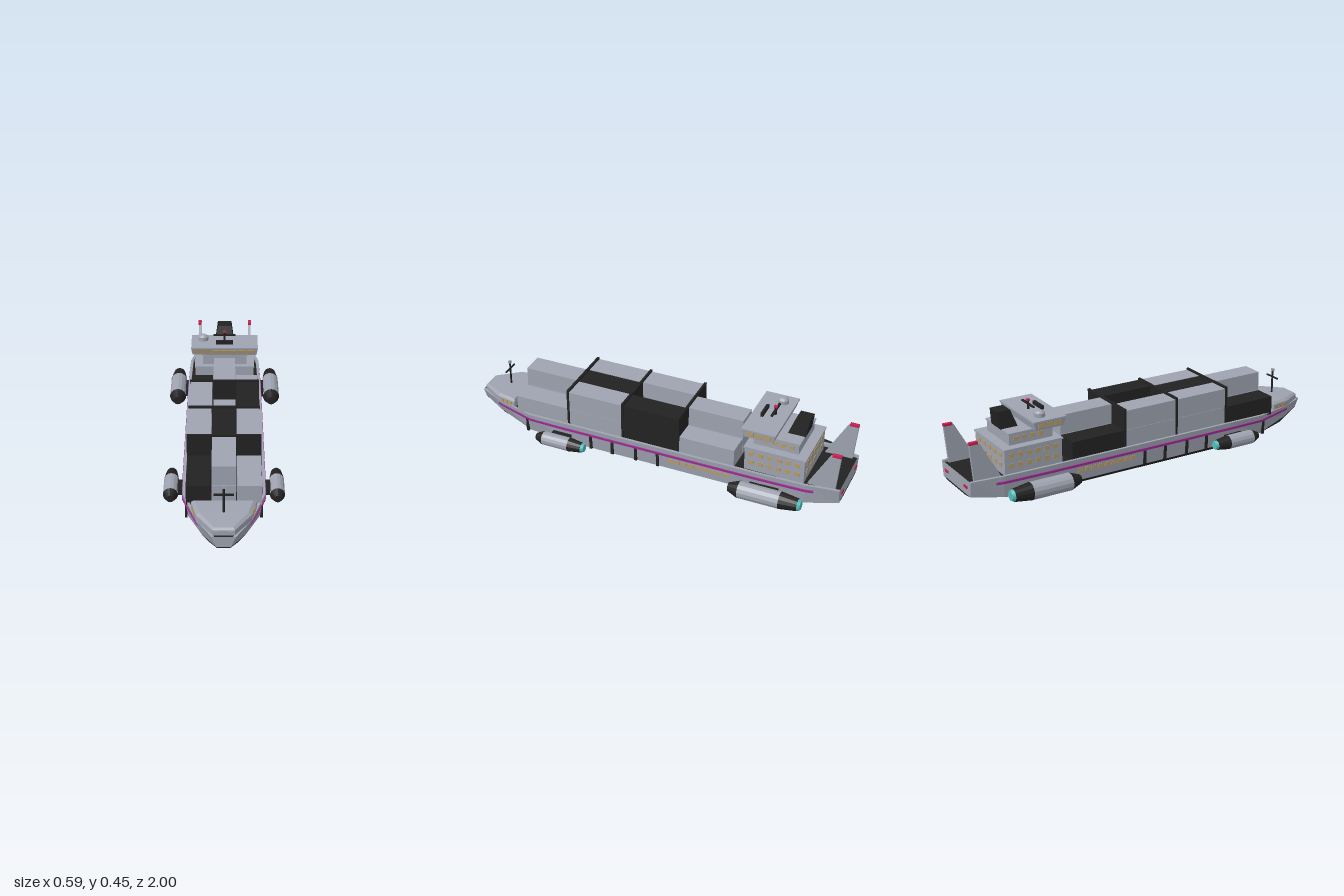
import * as THREE from 'three';

const mat = (name, color, extra = {}) => {
  const m = new THREE.MeshStandardMaterial({ color, side: THREE.DoubleSide, flatShading: true, ...extra });
  m.name = name;
  return m;
};

export function createModel() {
  const root = new THREE.Group();
  root.name = 'hoverFreighter';
  const grey = mat('hull grey', 0x9ea3b0), black = mat('dark panel', 0x222222);
  const tan = mat('window amber', 0xb79a62), purple = mat('stripe purple', 0xa12c98);
  const red = mat('signal red', 0xc8204f), cyan = mat('thruster cyan', 0x52bcbc);

  const add = (name, geo, m, x = 0, y = 0, z = 0, parent = root) => {
    const mesh = new THREE.Mesh(geo, m);
    mesh.name = name;
    mesh.position.set(x, y, z);
    parent.add(mesh);
    return mesh;
  };
  const box = (name, m, w, h, d, x, y, z) => add(name, new THREE.BoxGeometry(w, h, d), m, x, y, z);
  // Box given by its bounds, centred on x = 0
  const block = (name, m, w, y0, y1, z0, z1) => box(name, m, w, y1 - y0, z1 - z0, 0, (y0 + y1) / 2, (z0 + z1) / 2);

  // Mesh from quads, each a list of four points
  const quads = (name, m, list) => {
    const pos = [];
    for (const [a, b, c, d] of list) pos.push(...a, ...b, ...c, ...a, ...c, ...d);
    const g = new THREE.BufferGeometry();
    g.setAttribute('position', new THREE.Float32BufferAttribute(pos, 3));
    g.computeVertexNormals();
    return add(name, g, m);
  };
  // Band between two right-hand lines, mirrored to both sides
  const band = (name, m, a, b) => {
    const list = [];
    for (const s of [1, -1]) for (let i = 0; i + 1 < a.length; i++) {
      const q = [a[i], b[i], b[i + 1], a[i + 1]].map(([x, y, z]) => [s * x, y, z]);
      list.push(s > 0 ? q : q.reverse());
    }
    return quads(name, m, list);
  };
  const centre = (line) => line.map(([, y, z]) => [0, y, z]);

  // Hull stations: z, rim half width, rim y, chine half width, chine y, keel half width, keel y
  const stations = [
    [1, 0.055, 0.155, 0.032, 0.102, 0.03, 0.098],
    [0.87, 0.125, 0.16, 0.1, 0.088, 0.065, 0.046],
    [0.65, 0.193, 0.17, 0.175, 0.064, 0.1, 0.016],
    [0.45, 0.195, 0.172, 0.184, 0.057, 0.11, 0.008],
    [-0.6, 0.195, 0.172, 0.184, 0.057, 0.11, 0.008],
    [-0.84, 0.19, 0.172, 0.18, 0.062, 0.11, 0.035],
    [-1, 0.16, 0.165, 0.15, 0.088, 0.1, 0.08],
  ];
  const rim = stations.map(([z, x, y]) => [x, y, z]);
  const chine = stations.map((s) => [s[3], s[4], s[0]]);
  const keel = stations.map((s) => [s[5], s[6], s[0]]);
  const rimIn = rim.map(([x, y, z]) => [x - 0.014, y, z]);
  const deckEdge = rimIn.map(([x, , z]) => [x, 0.154, z]);
  band('hullSide', grey, rim, chine);
  band('hullBelly', black, chine, keel);
  band('hullBottom', black, keel, centre(keel));
  band('bulwarkTop', grey, rimIn, rim);
  band('bulwarkInside', grey, deckEdge, rimIn);
  band('deck', black, centre(deckEdge), deckEdge);
  for (const [i, n] of [[0, 'bow'], [stations.length - 1, 'stern']]) {
    const flip = ([x, y, z]) => [-x, y, z];
    const cap = (a, b) => (i ? [a, b, flip(b), flip(a)] : [flip(a), flip(b), b, a]);
    quads(n + 'Plate', grey, [cap(rim[i], chine[i])]);
    quads(n + 'LowerPlate', black, [cap(chine[i], keel[i])]);
  }

  // Hull half width at a given z and height
  const hullX = (z, y) => {
    let i = 0;
    while (i < stations.length - 2 && stations[i + 1][0] > z) i++;
    const a = stations[i], b = stations[i + 1], t = (a[0] - z) / (a[0] - b[0]);
    const v = (k) => a[k] + (b[k] - a[k]) * t;
    return v(3) + (v(1) - v(3)) * (y - v(4)) / (v(2) - v(4));
  };

  // Side stripe, standing just proud of the hull
  const stripe = (y, o) => [0.87, 0.65, 0.45, -0.6, -0.84, -0.88].map((z) => [hullX(z, y) + o, y, z]);
  band('sideStripe', purple, stripe(0.146, 0.006), stripe(0.134, 0.006));
  band('stripeTop', purple, stripe(0.146, 0), stripe(0.146, 0.006));
  band('stripeUnderside', purple, stripe(0.134, 0.006), stripe(0.134, 0));

  for (const s of [1, -1]) {
    for (const z of [0.67, 0.3, 0.18, 0.05, -0.07]) box('hullRib', black, 0.012, 0.075, 0.014, s * (hullX(z, 0.098) + 0.001), 0.097, z);
    for (let i = 0; i < 9; i++) {
      const z = -0.14 - i * 0.037;
      box('hullWindow', tan, 0.006, 0.02, 0.024, s * (hullX(z, 0.11) + 0.001), 0.11, z);
    }
    box('sternLight', red, 0.035, 0.014, 0.008, s * 0.105, 0.127, -1);
  }

  // Lift panels under the hull
  for (const z of [-0.4, 0.4]) block('liftPanel', cyan, 0.15, 0.003, 0.01, z - 0.085, z + 0.085);
  block('liftPanelCentre', cyan, 0.11, 0.003, 0.01, -0.085, 0.085);
  block('liftPanelCross', cyan, 0.15, 0.0035, 0.01, -0.055, 0.055);
  block('liftPanelCore', cyan, 0.18, 0.004, 0.01, -0.02, 0.02);

  // Forecastle with a sloping roof
  const fore = [[0.15, 0.192, 0.76], [0.125, 0.188, 0.87], [0.05, 0.18, 0.985]];
  const foreBase = fore.map(([x, , z]) => [x, 0.153, z]);
  const foreRoof = [[0.135, 0.203, 0.765], [0.11, 0.199, 0.865], [0.042, 0.189, 0.975]];
  band('forecastleSide', grey, foreBase, fore);
  band('forecastleShoulder', grey, fore, foreRoof);
  band('forecastleRoof', grey, foreRoof, centre(foreRoof));
  for (const i of [0, 2]) {
    band('forecastleEnd', grey, [foreBase[i], centre(foreBase)[i]], [fore[i], centre(fore)[i]]);
    band('forecastleEndTop', grey, [fore[i], centre(fore)[i]], [foreRoof[i], centre(foreRoof)[i]]);
  }
  for (const s of [1, -1]) {
    for (let i = 0; i < 3; i++) {
      const z = 0.785 + i * 0.028;
      const w = box('forecastleWindow', tan, 0.005, 0.02, 0.018, s * (0.15 - (z - 0.76) * 0.227), 0.175, z);
      w.rotation.y = -s * 0.223;
    }
    box('hawsePlate', grey, 0.02, 0.011, 0.006, s * 0.032, 0.17, 0.986);
  }

  // Foremast
  add('foremast', new THREE.CylinderGeometry(0.005, 0.005, 0.125, 8), black, 0, 0.26, 0.86);
  box('foremastYard', black, 0.09, 0.007, 0.007, 0, 0.288, 0.86);
  box('foremastLamp', grey, 0.015, 0.012, 0.012, 0, 0.327, 0.86);

  // Containers: rows from the bow, columns from -x; level count and colour
  const cargo = [
    [[1, black], [2, grey], [1, grey]],
    [[2, grey], [2, black], [2, grey]],
    [[2, grey], [1, grey], [2, black]],
    [[1, black], [2, grey], [1, grey]],
  ];
  cargo.forEach((row, r) => row.forEach(([levels, m], c) => {
    for (let l = 0; l < levels; l++) box('container', m, 0.113, 0.099, 0.288, (c - 1) * 0.118, 0.206 + l * 0.1, 0.58 - r * 0.3015);
  }));
  for (let i = 0; i < 3; i++) block('lashingWall', black, 0.354, 0.155, 0.365, 0.423 - i * 0.3015, 0.435 - i * 0.3015);

  // Deckhouse
  block('deckhouseLower', grey, 0.31, 0.154, 0.28, -0.82, -0.515);
  block('deckhouseLowerRoof', grey, 0.32, 0.278, 0.286, -0.825, -0.51);
  block('deckhouseUpper', grey, 0.235, 0.285, 0.342, -0.775, -0.545);
  block('deckhouseUpperRoof', grey, 0.245, 0.34, 0.347, -0.78, -0.54);
  block('bridgeNeck', grey, 0.2, 0.346, 0.362, -0.65, -0.53);
  // Wheelhouse flares outward towards its roof
  const wheel = new THREE.BoxGeometry(0.354, 0.042, 0.17), wp = wheel.attributes.position;
  for (let i = 0; i < wp.count; i++) if (wp.getY(i) < 0) wp.setXYZ(i, wp.getX(i) * 0.97, wp.getY(i), wp.getZ(i) * 0.87);
  wheel.computeVertexNormals();
  add('wheelhouse', wheel, grey, 0, 0.375, -0.587);
  block('wheelhouseRoof', grey, 0.356, 0.393, 0.4, -0.674, -0.5);
  for (let i = 0; i < 7; i++) box('wheelhouseWindow', tan, 0.039, 0.021, 0.005, (i - 3) * 0.047, 0.376, -0.5065).rotation.x = 0.25;
  for (const s of [1, -1]) {
    for (let i = 0; i < 3; i++) box('wheelhouseSideWindow', tan, 0.005, 0.02, 0.034, s * 0.175, 0.376, -0.545 - i * 0.044);
    for (let i = 0; i < 6; i++) for (const y of [0.2, 0.25]) box('cabinWindow', tan, 0.006, 0.022, 0.024, s * 0.155, y, -0.55 - i * 0.047);
    for (let i = 0; i < 4; i++) box('upperCabinWindow', tan, 0.006, 0.02, 0.024, s * 0.118, 0.317, -0.61 - i * 0.043);
  }
  for (let i = 0; i < 5; i++) for (const y of [0.2, 0.25]) box('aftCabinWindow', tan, 0.026, 0.022, 0.006, (i - 2) * 0.055, y, -0.82);

  // Funnel, raked aft
  const funnel = new THREE.BoxGeometry(0.1, 0.086, 0.09), fp = funnel.attributes.position;
  for (let i = 0; i < fp.count; i++) if (fp.getY(i) > 0) fp.setXYZ(i, fp.getX(i) * 0.75, fp.getY(i), fp.getZ(i) * 0.78 - 0.022);
  funnel.computeVertexNormals();
  add('funnel', funnel, black, 0, 0.388, -0.738);

  // Roof gear
  add('radomeBase', new THREE.CylinderGeometry(0.027, 0.027, 0.02, 12), grey, -0.115, 0.41, -0.61);
  add('radomeCap', new THREE.CylinderGeometry(0.015, 0.027, 0.01, 12), grey, -0.115, 0.425, -0.61);
  block('antennaBase', black, 0.09, 0.4, 0.418, -0.562, -0.548);
  add('radarPole', new THREE.CylinderGeometry(0.006, 0.006, 0.045, 8), black, 0, 0.421, -0.61);
  box('radarBar', black, 0.12, 0.006, 0.012, 0, 0.427, -0.61);
  box('radarLight', red, 0.016, 0.009, 0.016, 0, 0.446, -0.61);

  // Stern fins
  const finShape = new THREE.Shape([[0.835, 0.154], [0.975, 0.154], [0.992, 0.345], [0.94, 0.345]].map((p) => new THREE.Vector2(...p)));
  for (const s of [1, -1]) {
    const fin = add('sternFin', new THREE.ExtrudeGeometry(finShape, { depth: 0.014, bevelEnabled: false }), grey, s * 0.14 - 0.007, 0, 0);
    fin.rotation.y = Math.PI / 2;
    box('finLight', red, 0.018, 0.012, 0.045, s * 0.14, 0.349, -0.97);
  }

  // Engine pods: z bounds are nose, body front, body rear, nozzle, glow end
  const pod = (s, r, zs) => {
    const part = (name, m, r0, r1, i) => {
      const g = new THREE.CylinderGeometry(r0, r1, zs[i] - zs[i + 1], 14);
      g.rotateX(Math.PI / 2);
      add(name, g, m, s * 0.254, 0.098, (zs[i] + zs[i + 1]) / 2);
    };
    part('podNose', black, r * 0.5, r, 0);
    part('podBody', grey, r * 0.99, r * 0.99, 1);
    part('podTail', black, r, r * 0.72, 2);
    part('podGlow', cyan, r * 0.68, r * 0.55, 3);
    const mid = (zs[1] + zs[2]) / 2;
    box('podPylon', black, 0.05, 0.028, (zs[1] - zs[2]) * 0.7, s * 0.203, 0.097, mid);
  };
  for (const s of [1, -1]) {
    pod(s, 0.044, [-0.475, -0.53, -0.74, -0.83, -0.845]);
    pod(s, 0.036, [0.575, 0.535, 0.39, 0.32, 0.305]);
  }
  return root;
}
